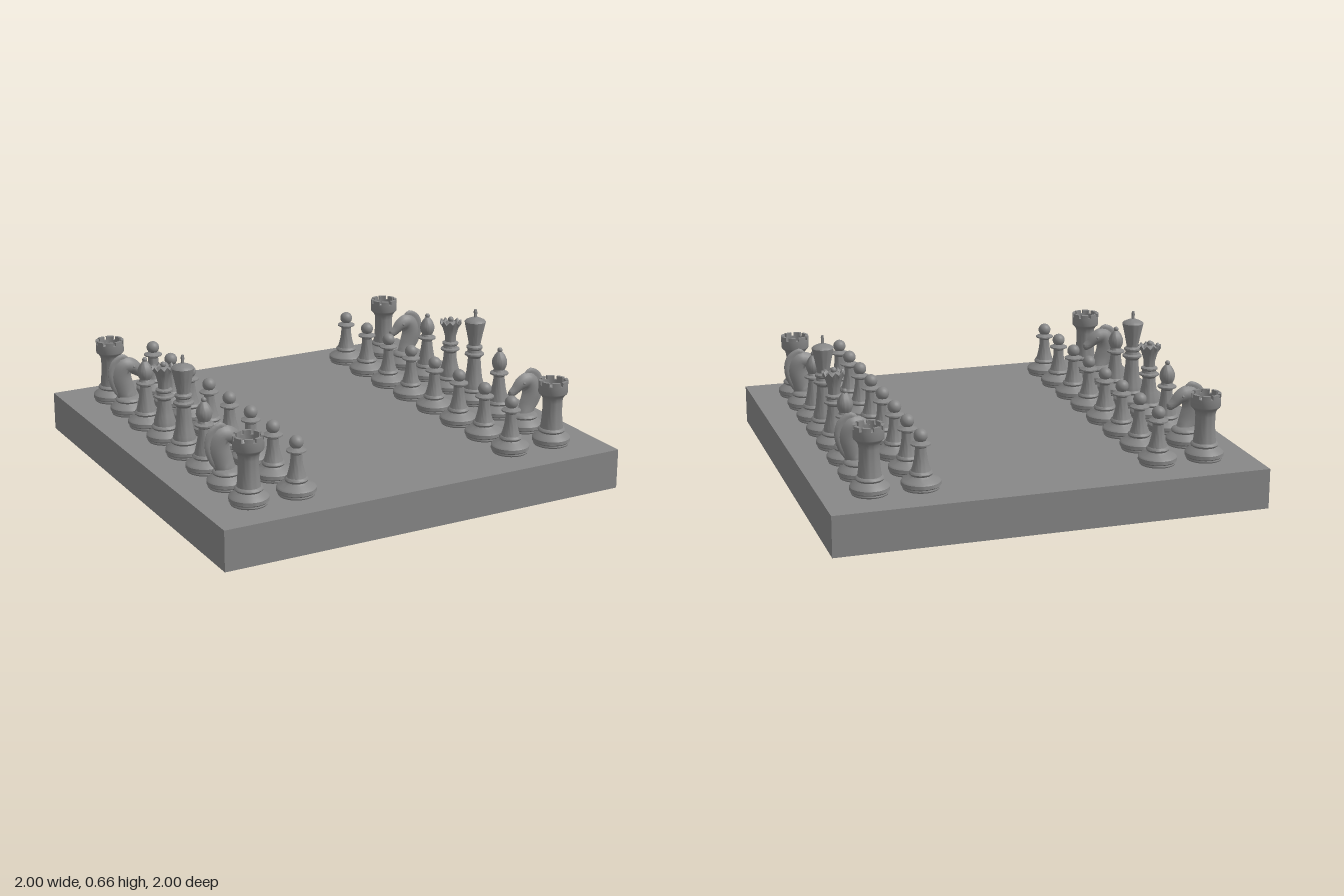
import * as THREE from 'three';
import { toCreasedNormals } from 'three/addons/utils/BufferGeometryUtils.js';

const BOARD_H = 0.187;
const material = new THREE.MeshStandardMaterial({ color: 0x878787, side: THREE.DoubleSide });

function mesh(name, geometry, x = 0, y = 0, z = 0) {
  const m = new THREE.Mesh(geometry, material);
  m.name = name;
  m.position.set(x, y, z);
  return m;
}

function group(name, ...parts) {
  const g = new THREE.Group();
  g.name = name;
  g.add(...parts);
  return g;
}

// Turned part from [radius, height] pairs, bottom to top
function turned(name, profile, segments = 36) {
  const geo = new THREE.LatheGeometry(profile.map(p => new THREE.Vector2(...p)), segments);
  return mesh(name, toCreasedNormals(geo, 0.6));
}

const ball = (name, r, y) => mesh(name, new THREE.SphereGeometry(r, 20, 14), 0, y, 0);

// Stepped foot shared by all pieces; k scales the upper ring
const foot = (k = 1) => [
  [0, 0], [0.08, 0], [0.083, 0.006], [0.081, 0.012], [0.088, 0.018], [0.088, 0.034], [0.082, 0.041],
  [0.066 * k, 0.052], [0.056 * k, 0.06], [0.061 * k, 0.064], [0.064 * k, 0.07],
  [0.06 * k, 0.077], [0.053 * k, 0.081],
];

function pawn() {
  return group('pawn',
    turned('pawnBody', [...foot(0.82), [0.037, 0.1], [0.03, 0.13], [0.026, 0.16], [0.025, 0.185],
      [0.03, 0.192], [0.044, 0.197], [0.044, 0.203], [0.028, 0.21], [0.018, 0.216], [0, 0.22]]),
    ball('pawnHead', 0.031, 0.237));
}

function rook() {
  const g = group('rook',
    turned('rookBody', [...foot(), [0.05, 0.1], [0.046, 0.15], [0.045, 0.205], [0.048, 0.225],
      [0.056, 0.238], [0.066, 0.247], [0.068, 0.252], [0.068, 0.292], [0.054, 0.292],
      [0.054, 0.268], [0.044, 0.254], [0.025, 0.247], [0, 0.245]]));
  // Battlements around the rim
  const n = 8, half = Math.PI / n * 0.75;
  const shape = new THREE.Shape();
  shape.absarc(0, 0, 0.068, -half, half, false);
  shape.absarc(0, 0, 0.054, half, -half, true);
  const geo = new THREE.ExtrudeGeometry(shape, { depth: 0.018, bevelEnabled: false, curveSegments: 6 });
  geo.rotateX(-Math.PI / 2);
  for (let i = 0; i < n; i++) {
    const merlon = mesh('battlement', geo, 0, 0.292, 0);
    merlon.rotation.y = (i + 0.5) * 2 * Math.PI / n;
    g.add(merlon);
  }
  return g;
}

function bishop() {
  return group('bishop',
    turned('bishopBody', [...foot(0.9), [0.043, 0.1], [0.034, 0.14], [0.028, 0.18], [0.026, 0.2],
      [0.031, 0.207], [0.044, 0.212], [0.044, 0.219], [0.03, 0.226], [0.026, 0.235],
      [0.033, 0.25], [0.037, 0.265], [0.035, 0.283], [0.026, 0.303], [0.013, 0.321], [0, 0.327]]),
    ball('bishopFinial', 0.012, 0.331));
}

// Tall stem with collars for queen and king, stretched by k
const royalStem = k => [...foot(), [0.05, 0.1], [0.041, 0.13], [0.034, 0.165 * k], [0.031, 0.2 * k],
  [0.037, 0.207 * k], [0.047, 0.213 * k], [0.047, 0.22 * k], [0.036, 0.226 * k], [0.033, 0.236 * k],
  [0.04, 0.243 * k], [0.04, 0.25 * k], [0.029, 0.257 * k]];

function queen() {
  const points = 10;
  const crown = new THREE.LatheGeometry([[0.027, 0.255], [0.028, 0.285], [0.039, 0.325],
    [0.054, 0.357], [0.045, 0.357], [0.037, 0.346], [0.026, 0.355], [0, 0.364]]
    .map(p => new THREE.Vector2(...p)), points * 4);
  // Scallop the rim into points
  const pos = crown.attributes.position;
  for (let i = 0; i < pos.count; i++) {
    const x = pos.getX(i), z = pos.getZ(i);
    if (Math.hypot(x, z) > 0.042) {
      pos.setY(i, pos.getY(i) + 0.009 * Math.cos(points * Math.atan2(x, z)));
    }
  }
  return group('queen',
    turned('queenBody', [...royalStem(1), [0, 0.262]]),
    mesh('queenCrown', toCreasedNormals(crown, 0.6)),
    ball('queenFinial', 0.014, 0.369));
}

function king() {
  return group('king',
    turned('kingBody', [...royalStem(1.16), [0.031, 0.315], [0.04, 0.36], [0.05, 0.405],
      [0.052, 0.416], [0.047, 0.422], [0.036, 0.428], [0.014, 0.437], [0, 0.438]]),
    mesh('crossPost', new THREE.BoxGeometry(0.011, 0.044, 0.01), 0, 0.454, 0),
    mesh('crossArm', new THREE.BoxGeometry(0.011, 0.01, 0.02), 0, 0.461, 0));
}

// Knight's neck and head: lens-shaped sections along a bent spine
function knightHead() {
  const stations = [ // x, y, half depth, half thickness
    [0, 0.075, 0.046, 0.03], [-0.018, 0.125, 0.05, 0.023], [-0.034, 0.19, 0.052, 0.026],
    [-0.016, 0.238, 0.046, 0.03], [0.024, 0.232, 0.038, 0.028], [0.06, 0.202, 0.026, 0.018],
    [0.084, 0.186, 0.02, 0.013], [0.093, 0.181, 0.004, 0.003]];
  const spine = new THREE.CatmullRomCurve3(stations.map(s => new THREE.Vector3(s[0], s[1], 0)));
  const sizes = new THREE.CatmullRomCurve3(stations.map(s => new THREE.Vector3(s[2], s[3], 0)));
  const rows = 28, sides = 20, position = [], index = [];
  for (let i = 0; i <= rows; i++) {
    const c = spine.getPoint(i / rows), t = spine.getTangent(i / rows), s = sizes.getPoint(i / rows);
    for (let j = 0; j < sides; j++) {
      const a = j / sides * 2 * Math.PI, d = s.x * Math.cos(a);
      position.push(c.x - t.y * d, c.y + t.x * d, s.y * Math.sin(a) * Math.abs(Math.sin(a)));
      if (i < rows) {
        const p = i * sides + j, q = i * sides + (j + 1) % sides;
        index.push(p, q, q + sides, p, q + sides, p + sides);
      }
    }
  }
  const geo = new THREE.BufferGeometry();
  geo.setAttribute('position', new THREE.Float32BufferAttribute(position, 3));
  geo.setIndex(index);
  return mesh('knightHead', toCreasedNormals(geo, 0.8));
}

// Knight looks towards +x
function knight() {
  // Thin crest behind the neck
  const crest = new THREE.Shape();
  crest.moveTo(-0.05, 0.085);
  crest.bezierCurveTo(-0.1, 0.13, -0.12, 0.225, -0.078, 0.272);
  crest.quadraticCurveTo(-0.055, 0.295, -0.025, 0.3);
  crest.quadraticCurveTo(0, 0.295, 0.02, 0.26);
  crest.quadraticCurveTo(-0.05, 0.23, -0.02, 0.1);
  const geo = new THREE.ExtrudeGeometry(crest, {
    depth: 0.002, bevelThickness: 0.006, bevelSize: 0.016, bevelOffset: -0.016,
    bevelSegments: 2, curveSegments: 12,
  });
  geo.translate(0, 0, -0.001);

  const g = group('knight',
    turned('knightBase', [...foot(), [0.046, 0.085], [0, 0.088]]),
    knightHead(),
    mesh('knightCrest', toCreasedNormals(geo, 0.7)));
  for (const s of [-1, 1]) {
    g.add(mesh('knightEye', new THREE.SphereGeometry(0.007, 10, 8), 0.024, 0.236, s * 0.025));
  }
  return g;
}

// Hollow board: thin top on a wall frame open below
function board() {
  const wall = 0.04, top = 0.03;
  const rect = (s, Type) => new Type([[-s, -s], [s, -s], [s, s], [-s, s]].map(p => new THREE.Vector2(...p)));
  const outline = rect(1, THREE.Shape);
  outline.holes.push(rect(1 - wall, THREE.Path));
  const frame = new THREE.ExtrudeGeometry(outline, { depth: BOARD_H - top, bevelEnabled: false });
  frame.rotateX(-Math.PI / 2);
  return group('board', mesh('boardFrame', frame),
    mesh('boardTop', new THREE.BoxGeometry(2, top, 2), 0, BOARD_H - top / 2, 0));
}

export function createModel() {
  const model = group('chessSet', board());
  const order = [rook, knight, bishop, queen, king, bishop, knight, rook].map(make => make());
  const pawnPiece = pawn();
  for (const side of [-1, 1]) {
    order.forEach((piece, i) => {
      const z = (i - 3.5) * 0.2215 + 0.004;
      for (const [source, x] of [[piece, 0.779], [pawnPiece, 0.551]]) {
        const p = source.clone();
        p.position.set(side * x, BOARD_H, z);
        p.rotation.y = side > 0 ? Math.PI : 0;
        model.add(p);
      }
    });
  }
  return model;
}
